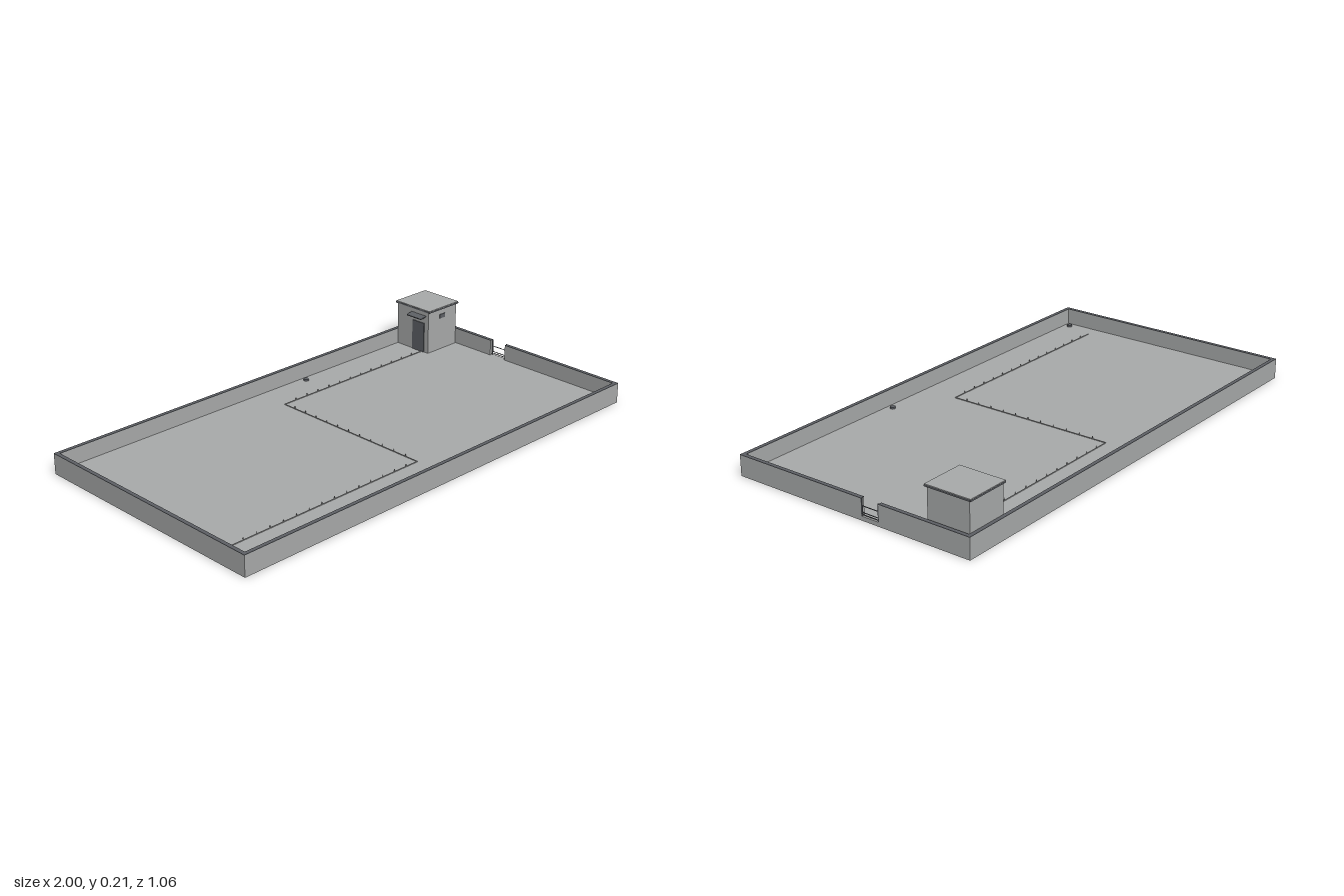
import * as THREE from 'three';

const concrete = new THREE.MeshStandardMaterial({ name: 'concrete grey', color: 0xa9abab });
const slate = new THREE.MeshStandardMaterial({ name: 'dark slate', color: 0x5e6166 });

const W = 1, D = 0.53, T = 0.016; // half length, half depth, wall thickness
const FLOOR = 0.017, TOP = 0.085; // floor and parapet heights
const GAP = [-0.135, -0.055]; // access opening along the left wall

// Box given by its min and max corners
function box(parent, name, mat, [x0, y0, z0], [x1, y1, z1]) {
  const mesh = new THREE.Mesh(new THREE.BoxGeometry(x1 - x0, y1 - y0, z1 - z0), mat);
  mesh.position.set((x0 + x1) / 2, (y0 + y1) / 2, (z0 + z1) / 2);
  mesh.name = name;
  parent.add(mesh);
  return mesh;
}

function group(parent, name) {
  const g = new THREE.Group();
  g.name = name;
  parent.add(g);
  return g;
}

export function createModel() {
  const model = new THREE.Group();
  model.name = 'walledRoof';
  box(model, 'floorSlab', concrete, [-W, 0, -D], [W, FLOOR, D]);

  // Parapet: four sides, with the left one split by the opening, and a thin coping
  const parapet = group(model, 'parapet');
  const runs = [
    ['frontWall', -W, W, D - T, D],
    ['backWall', -W, W, -D, -D + T],
    ['rightWall', -W, -W + T, -D + T, D - T],
    ['leftWallBack', W - T, W, -D + T, GAP[0]],
    ['leftWallFront', W - T, W, GAP[1], D - T],
  ];
  for (const [name, x0, x1, z0, z1] of runs) {
    box(parapet, name, concrete, [x0, FLOOR, z0], [x1, TOP - 0.002, z1]);
    box(parapet, name + 'Coping', slate, [x0, TOP - 0.002, z0], [x1, TOP, z1]);
  }

  // Thin posts and rungs in the opening
  const ladder = group(model, 'accessLadder');
  for (const [z0, z1] of [[GAP[0], GAP[0] + 0.004], [GAP[1] - 0.004, GAP[1]]])
    box(ladder, 'ladderPost', slate, [W - 0.005, FLOOR, z0], [W, TOP, z1]);
  for (const y of [0.022, 0.03, 0.055])
    box(ladder, 'ladderRung', slate, [W - 0.004, y, GAP[0]], [W - 0.001, y + 0.002, GAP[1]]);

  // Stair house in the back left corner
  const house = group(model, 'stairHouse');
  box(house, 'houseWalls', concrete, [0.805, FLOOR, -0.515], [0.98, 0.202, -0.335]);
  box(house, 'houseRoof', concrete, [0.802, 0.202, -0.523], [0.985, 0.212, -0.328]);
  box(house, 'roofTrim', slate, [0.801, 0.203, -0.524], [0.986, 0.209, -0.327]);
  box(house, 'window', slate, [0.875, 0.16, -0.336], [0.908, 0.178, -0.332]);
  box(house, 'door', slate, [0.801, FLOOR, -0.425], [0.806, 0.15, -0.358]);

  // Sloping canopy over the door
  const canopy = box(house, 'doorCanopy', slate, [0.774, 0.178, -0.434], [0.806, 0.182, -0.35]);
  canopy.rotation.z = 0.2;

  // Small floor drains
  for (const [x, z] of [[-0.955, -0.49], [0.23, -0.49], [-0.955, 0.487], [0.23, 0.487], [0.95, 0.487]]) {
    const drain = new THREE.Mesh(new THREE.CylinderGeometry(0.011, 0.011, 0.008, 16), slate);
    drain.position.set(x, FLOOR + 0.004, z);
    drain.name = 'floorDrain';
    model.add(drain);
  }

  // Fine cable run crossing the floor in three legs, with regular clips
  const cable = group(model, 'floorCable');
  const r = 0.001;
  for (const [ax, az, bx, bz] of [[-0.92, 0.36, 0, 0.36], [0, 0.36, 0, -0.37], [0, -0.37, 0.8, -0.37]]) {
    const x0 = Math.min(ax, bx), x1 = Math.max(ax, bx);
    const z0 = Math.min(az, bz), z1 = Math.max(az, bz);
    box(cable, 'cableLeg', concrete, [x0 - r, FLOOR, z0 - r], [x1 + r, FLOOR + 0.003, z1 + r]);
    const n = Math.round((x1 - x0 + z1 - z0) / 0.06);
    for (let i = 1; i < n; i++) {
      const x = ax + (bx - ax) * i / n, z = az + (bz - az) * i / n;
      box(cable, 'cableClip', concrete, [x - r, FLOOR, z - r], [x + r, FLOOR + 0.012, z + r]);
    }
  }
  return model;
}
